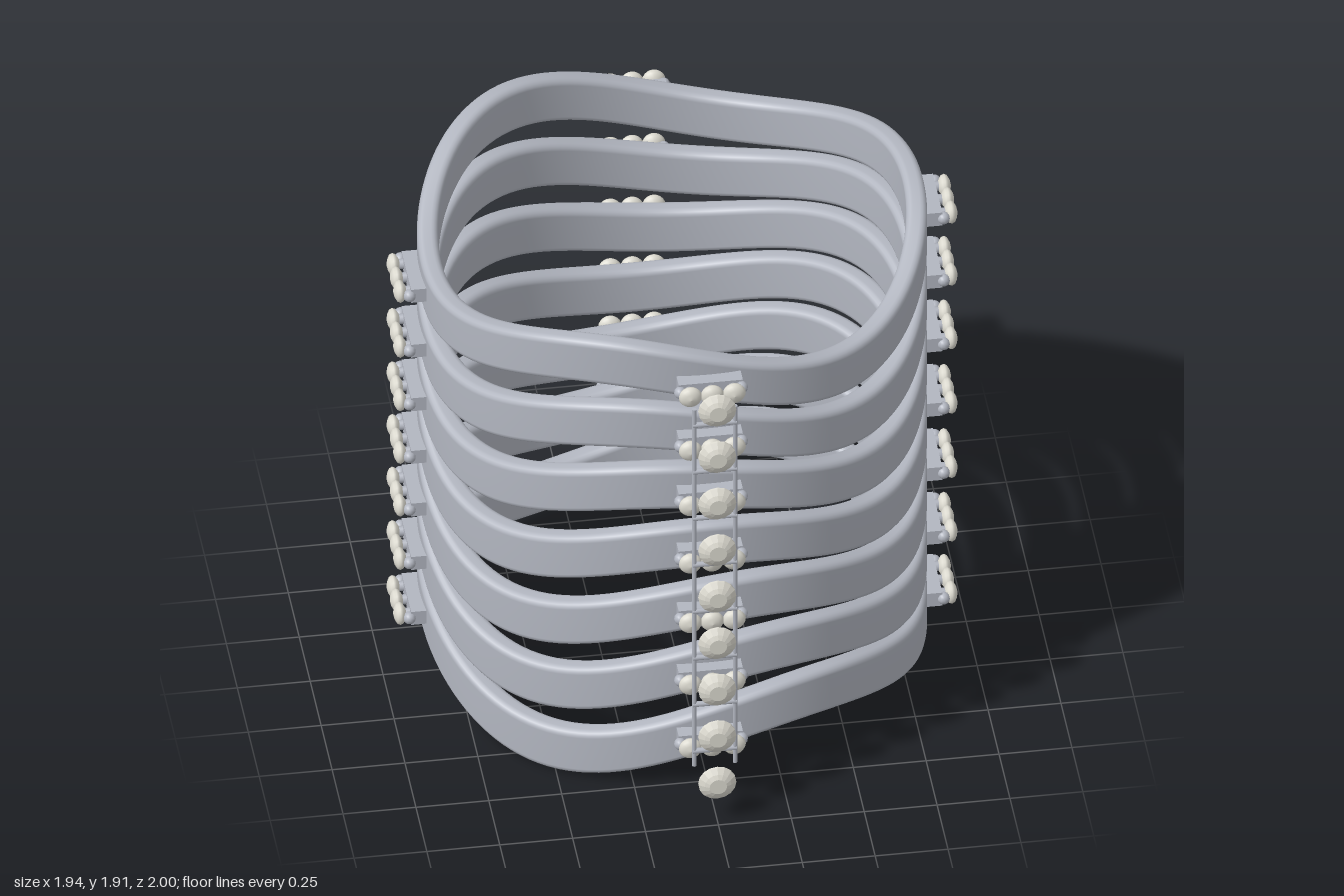
import * as THREE from 'three';

const metal = new THREE.MeshStandardMaterial({ color: 0xb2b6c0 });
metal.name = 'silver metal';
const stone = new THREE.MeshStandardMaterial({ color: 0xdedcd2 });
stone.name = 'pale stone';

const BANDS = 7, RX = 0.83, RZ = 0.805, CZ = -0.06;

// Height of a band's centre line; angle runs from the front towards +x
function bandHeight(i, angle) {
  const shift = THREE.MathUtils.degToRad(20 - (40 * i) / (BANDS - 1));
  return 0.217 + 0.2497 * i + 0.09 * Math.cos(3 * (angle - shift)) - 0.025 * Math.cos(angle + 2 * shift);
}

// Rounded-rectangle section [radial, vertical], counter-clockwise
function section(w, h, r) {
  const pts = [];
  for (let c = 0; c < 4; c++) {
    const cx = (c === 0 || c === 3 ? 1 : -1) * (w / 2 - r);
    const cy = (c < 2 ? 1 : -1) * (h / 2 - r);
    for (let k = 0; k <= 4; k++) {
      const a = (c + k / 4) * Math.PI / 2;
      pts.push([cx + r * Math.cos(a), cy + r * Math.sin(a)]);
    }
  }
  return pts;
}

// Closed wavy ring
function bandGeometry(i) {
  const prof = section(0.072, 0.18, 0.024), n = prof.length, steps = 144;
  const pos = [], idx = [];
  for (let s = 0; s < steps; s++) {
    const a = (s / steps) * Math.PI * 2, y = bandHeight(i, a);
    for (const [r, v] of prof) pos.push((RX + r) * Math.sin(a), y + v, CZ + (RZ + r) * Math.cos(a));
    for (let k = 0; k < n; k++) {
      const k2 = (k + 1) % n, s2 = (s + 1) % steps;
      const p = s * n + k, q = s * n + k2, u = s2 * n + k, w = s2 * n + k2;
      idx.push(p, u, q, q, u, w);
    }
  }
  const g = new THREE.BufferGeometry();
  g.setAttribute('position', new THREE.Float32BufferAttribute(pos, 3));
  g.setIndex(idx);
  g.computeVertexNormals();
  return g;
}

// Lathe whose axis points along +z
function turned(points, sides) {
  return new THREE.LatheGeometry(points.map(p => new THREE.Vector2(...p)), sides).rotateX(Math.PI / 2);
}

const plateGeo = new THREE.BoxGeometry(0.22, 0.055, 0.06);
const stemGeo = new THREE.CylinderGeometry(0.016, 0.02, 0.05, 12).rotateX(Math.PI / 2);
const beadGeo = turned([[0, 0.055], [0.02, 0.06], [0.036, 0.07], [0.04, 0.08], [0.035, 0.09], [0.02, 0.098], [0, 0.102]], 20);
const clawGeo = new THREE.SphereGeometry(0.022, 12, 8);
const gemGeo = turned([[0, -0.055], [0.022, -0.045], [0.065, 0], [0.065, 0.008], [0.046, 0.022], [0.03, 0.03], [0, 0.03]], 16).toNonIndexed();
gemGeo.computeVertexNormals();

function add(parent, name, geo, mat, x = 0, y = 0, z = 0) {
  const m = new THREE.Mesh(geo, mat);
  m.name = name;
  m.position.set(x, y, z);
  parent.add(m);
  return m;
}

// Plate with three beads, facing +z from the band's outer face
function beadCluster() {
  const g = new THREE.Group();
  g.name = 'beadCluster';
  add(g, 'clusterPlate', plateGeo, metal, 0, 0, 0.015);
  for (const x of [-0.075, 0, 0.075]) {
    add(g, 'beadStem', stemGeo, metal, x, 0, 0.05);
    add(g, 'bead', beadGeo, stone, x, 0, 0);
  }
  for (const x of [-0.105, 0.105]) add(g, 'claw', clawGeo, metal, x, 0, 0.05);
  return g;
}

export function createModel() {
  const model = new THREE.Group();
  model.name = 'wavyBracelet';

  // Stacked bands, each with a cluster on four sides
  for (let i = 0; i < BANDS; i++) {
    add(model, 'band', bandGeometry(i), metal);
    for (let q = 0; q < 4; q++) {
      const a = (q * Math.PI) / 2;
      const c = beadCluster();
      c.position.set((RX + 0.036) * Math.sin(a), bandHeight(i, a), CZ + (RZ + 0.036) * Math.cos(a));
      c.rotation.y = a;
      model.add(c);
    }
  }

  // Ladder of thin rods in front
  const ladder = new THREE.Group();
  ladder.name = 'ladder';
  model.add(ladder);
  const railGeo = new THREE.CylinderGeometry(0.008, 0.008, 1.52, 10);
  for (const x of [-0.07, 0.07]) add(ladder, 'rail', railGeo, metal, x, 0.97, 0.915);
  const rungGeo = new THREE.CylinderGeometry(0.01, 0.01, 0.15, 10).rotateZ(Math.PI / 2);
  for (let i = 0; i < 8; i++) add(ladder, 'rung', rungGeo, metal, 0, 0.272 + 0.1985 * i, 0.915);

  // Row of cut gems
  for (let i = 0; i < 9; i++) add(model, 'gem', gemGeo, stone, 0, 0.173 + 0.1985 * i, 0.97);
  return model;
}
